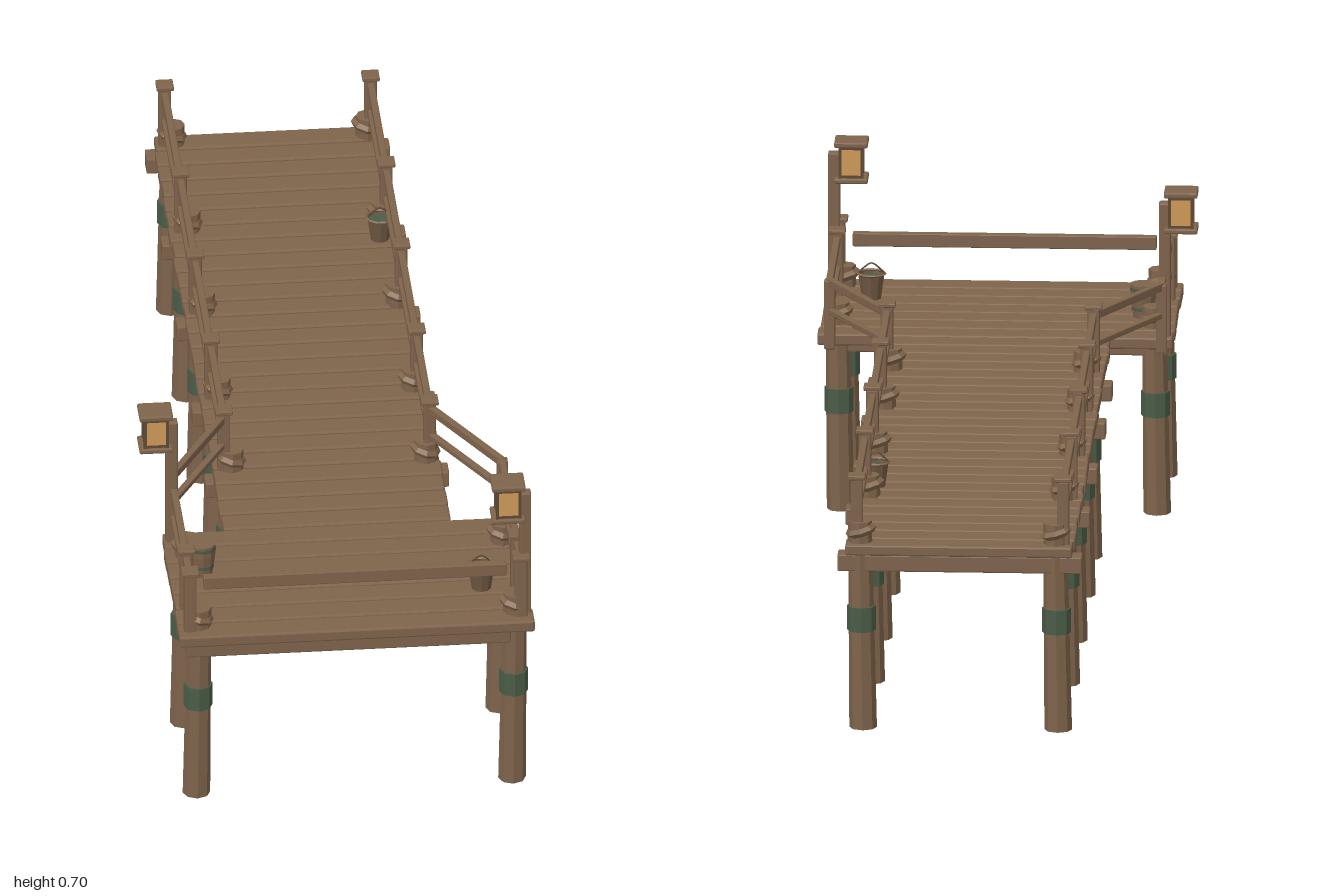
import * as THREE from 'three';
import { RoundedBoxGeometry } from 'three/addons/geometries/RoundedBoxGeometry.js';

const mat = (name, color) => {
  const m = new THREE.MeshStandardMaterial({ color });
  m.name = name;
  return m;
};

export function createModel() {
  const root = new THREE.Group();
  root.name = 'dock';
  const wood = mat('wood', 0x7e634b);
  const darkWood = mat('dark wood', 0x5e4936);
  const rope = mat('rope', 0x806449);
  const moss = mat('moss green', 0x4a5c47);
  const glow = mat('amber glass', 0xcf9a58);
  const hollow = mat('bucket wood', 0x6f5842);
  hollow.side = THREE.DoubleSide;

  let seed = 7;
  const jitter = (amount) => {
    seed = (seed * 16807) % 2147483647;
    return (seed / 2147483647 - 0.5) * 2 * amount;
  };
  const group = (name, parent = root) => {
    const g = new THREE.Group();
    g.name = name;
    parent.add(g);
    return g;
  };
  const add = (parent, name, geometry, material, x, y, z) => {
    const m = new THREE.Mesh(geometry, material);
    m.name = name;
    m.position.set(x, y, z);
    parent.add(m);
    return m;
  };
  // Box with small flat chamfers
  const chamfered = (w, h, d, r = 0.003) => {
    const g = new RoundedBoxGeometry(w, h, d, 1, r);
    g.computeVertexNormals();
    return g;
  };
  // Flat-sided round geometry
  const faceted = (g) => {
    const flat = g.toNonIndexed();
    flat.computeVertexNormals();
    return flat;
  };
  // Square bar between two points
  const bar = (parent, name, a, b, w, h) => {
    const p = new THREE.Vector3(...a), q = new THREE.Vector3(...b);
    const m = add(parent, name, chamfered(w, h, p.distanceTo(q), 0.002), wood, 0, 0, 0);
    m.position.copy(p).lerp(q, 0.5);
    m.lookAt(q);
    return m;
  };

  // Deck planks: narrow walkway, then wide platform at the front
  const deck = group('deck');
  const pitch = 0.0606;
  for (let i = 0; i < 26; i++) {
    add(deck, 'walkwayPlank', chamfered(0.462 + jitter(0.003), 0.023, 0.054, 0.004), wood,
      0.0225 + jitter(0.002), 0.3785, -0.97 + i * pitch);
  }
  for (let i = 0; i < 7; i++) {
    add(deck, 'platformPlank', chamfered(0.718 + jitter(0.004), 0.025, 0.055, 0.004), wood,
      0.0235 + jitter(0.002), 0.3785, 0.607 + i * pitch);
  }

  // Piles with moss bands, rope rings and crossbeams
  const walkZ = [0.33, 0.045, -0.295, -0.62, -0.965];
  const platformZ = [0.95, 0.67];
  const piles = group('piles');
  const pile = (x, z) => {
    const g = group('pile', piles);
    g.position.set(x, 0, z);
    const shaft = new THREE.CylinderGeometry(0.024, 0.028, 0.433, 8);
    const p = shaft.attributes.position;
    for (let i = 0; i < p.count; i++) p.setX(i, p.getX(i) + p.getY(i) * 0.015);
    add(g, 'shaft', faceted(shaft), wood, 0, 0.2165, 0);
    add(g, 'mossBand', faceted(new THREE.CylinderGeometry(0.0295, 0.0295, 0.051, 8)), moss, 0, 0.23, 0);
    const ring = add(g, 'ropeRing',
      faceted(new THREE.TorusGeometry(0.0235, 0.009, 5, 8).rotateX(Math.PI / 2)), rope, 0.001, 0.413, 0);
    ring.rotation.z = -0.28;
  };
  const beams = group('crossbeams');
  for (const z of walkZ) {
    pile(-0.173, z);
    pile(0.222, z);
    add(beams, 'walkwayBeam', chamfered(0.495, 0.035, 0.042), wood, 0.0225, 0.349, z);
  }
  for (const z of platformZ) {
    pile(-0.296, z);
    pile(0.345, z);
    add(beams, 'platformBeam', chamfered(0.659, 0.035, 0.042), wood, 0.0075, 0.349, z + 0.008);
  }

  // Railings on both sides
  const railings = group('railings');
  const cappedPost = (x, z) => {
    add(railings, 'railPost', chamfered(0.025, 0.155, 0.025), wood, x, 0.4455, z);
    add(railings, 'postCap', chamfered(0.035, 0.009, 0.035, 0.002), wood, x, 0.526, z);
  };
  for (const s of [-1, 1]) {
    const walkX = 0.0225 + s * 0.209;
    const wideX = 0.0225 + s * 0.336;
    for (const z of walkZ) cappedPost(walkX, z);
    for (const z of [0.875, 0.965]) cappedPost(wideX, z);
    add(railings, 'cornerPost', chamfered(0.022, 0.145, 0.022), wood, wideX, 0.44, 0.555);
    for (const [y, h] of [[0.507, 0.017], [0.447, 0.012]]) {
      bar(railings, 'walkwayRail', [walkX, y, -0.965], [walkX, y, 0.33], 0.014, h);
      bar(railings, 'angledRail', [walkX, y, 0.33], [wideX, y, 0.555], 0.014, h);
      bar(railings, 'platformRail', [wideX, y, 0.555], [wideX, y, y > 0.5 ? 0.965 : 0.875], 0.014, h);
    }
  }
  bar(railings, 'frontRail', [-0.285, 0.489, 0.945], [0.33, 0.489, 0.945], 0.018, 0.028);

  // Lantern posts; side is the direction the lantern hangs
  const lantern = (postX, z, lampX) => {
    const g = group('lanternPost');
    add(g, 'pole', chamfered(0.024, 0.295, 0.024), wood, postX, 0.5225, z);
    add(g, 'bracket', chamfered(Math.abs(postX - lampX), 0.01, 0.012, 0.002), wood, (postX + lampX) / 2, 0.657, z);
    add(g, 'lanternBase', chamfered(0.068, 0.011, 0.06), wood, lampX, 0.6155, z);
    add(g, 'lanternRoof', chamfered(0.068, 0.012, 0.06), wood, lampX, 0.691, z);
    add(g, 'lanternGlass', new THREE.BoxGeometry(0.044, 0.064, 0.044), glow, lampX, 0.653, z);
    for (const dx of [-1, 1]) for (const dz of [-1, 1]) {
      add(g, 'lanternFrame', new THREE.BoxGeometry(0.006, 0.066, 0.006), darkWood,
        lampX + dx * 0.0225, 0.653, z + dz * 0.0225);
    }
    for (const y of [0.6235, 0.6825]) {
      add(g, 'lanternTrim', new THREE.BoxGeometry(0.048, 0.005, 0.048), darkWood, lampX, y, z);
    }
  };
  lantern(-0.318, 0.605, -0.351);
  lantern(0.368, 0.95, 0.333);

  // Lidded barrel
  const barrel = group('barrel');
  barrel.position.set(-0.268, 0.39, 0.74);
  const profile = [[0, 0], [0.021, 0], [0.027, 0.045], [0.028, 0.07], [0, 0.07]]
    .map(([r, y]) => new THREE.Vector2(r, y));
  add(barrel, 'barrelBody', faceted(new THREE.LatheGeometry(profile, 10)), wood, 0, 0, 0);
  for (const [y, r] of [[0.02, 0.0245], [0.061, 0.0285]]) {
    add(barrel, 'barrelHoop', faceted(new THREE.CylinderGeometry(r, r, 0.007, 10)), moss, 0, y, 0);
  }

  // Open buckets with handles
  const bucket = (x, z, s) => {
    const g = group('bucket');
    g.position.set(x, 0.39, z);
    g.scale.setScalar(s);
    add(g, 'bucketSide', faceted(new THREE.CylinderGeometry(0.028, 0.02, 0.054, 10, 1, true)), hollow, 0, 0.027, 0);
    add(g, 'bucketBottom', faceted(new THREE.CylinderGeometry(0.02, 0.02, 0.004, 10)), wood, 0, 0.003, 0);
    add(g, 'bucketRim', faceted(new THREE.TorusGeometry(0.028, 0.003, 4, 10).rotateX(Math.PI / 2)), wood, 0, 0.053, 0);
    add(g, 'bucketContents', new THREE.CircleGeometry(0.026, 10).rotateX(-Math.PI / 2), moss, 0, 0.046, 0);
    const arc = new THREE.CatmullRomCurve3([[-0.028, 0.052], [-0.013, 0.067], [0, 0.075], [0.013, 0.067], [0.028, 0.052]]
      .map(([px, py]) => new THREE.Vector3(px, py, 0)));
    add(g, 'bucketHandle', new THREE.TubeGeometry(arc, 10, 0.0018, 5), darkWood, 0, 0, 0);
  };
  bucket(0.288, 0.852, 1);
  bucket(0.212, -0.55, 0.95);

  return root;
}
